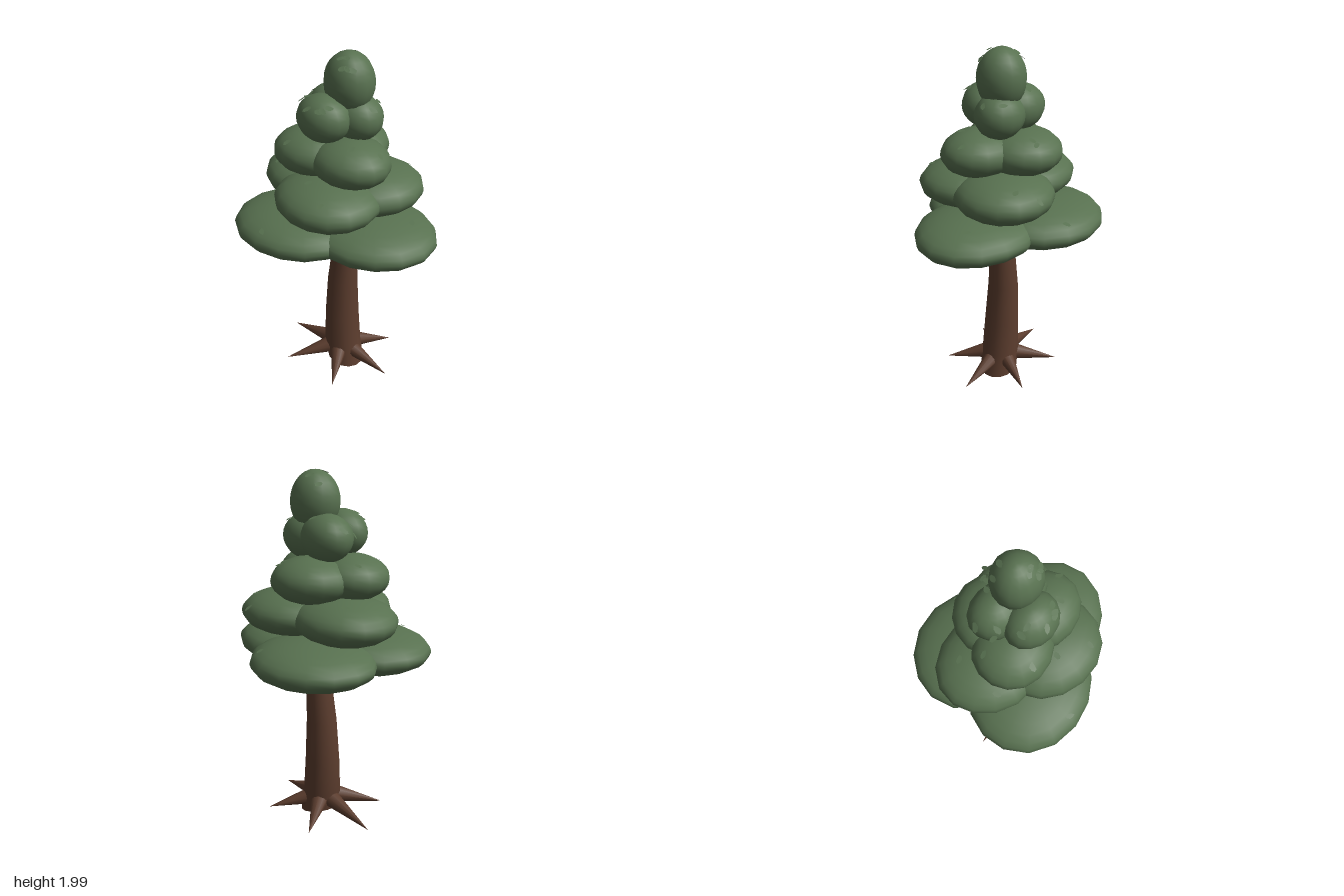
import * as THREE from 'three';
import { mergeVertices, toCreasedNormals } from 'three/addons/utils/BufferGeometryUtils.js';

const green = new THREE.MeshStandardMaterial({ color: 0x587150, side: THREE.DoubleSide });
green.name = 'leaf green';
const brown = new THREE.MeshStandardMaterial({ color: 0x5c3d2e });
brown.name = 'bark brown';

// Foliage clumps: centre x, y, z and radii x, y, z
const clumps = [
  // lowest tier
  [-0.185, 1.03, -0.2, 0.365, 0.12, 0.32],
  [-0.185, 1.03, 0.195, 0.365, 0.12, 0.32],
  [0.185, 1.03, -0.005, 0.365, 0.12, 0.325],
  // second tier
  [-0.24, 1.24, -0.03, 0.305, 0.125, 0.27],
  [0.09, 1.24, -0.12, 0.28, 0.125, 0.27],
  [0.01, 1.24, 0.16, 0.3, 0.125, 0.27],
  // third tier
  [-0.08, 1.44, -0.12, 0.225, 0.125, 0.215],
  [0.08, 1.445, 0.05, 0.22, 0.125, 0.2],
  [-0.17, 1.445, 0.07, 0.22, 0.125, 0.2],
  // fourth tier
  [-0.13, 1.66, -0.06, 0.155, 0.125, 0.13],
  [-0.065, 1.665, 0.1, 0.155, 0.125, 0.127],
  [0.03, 1.65, -0.05, 0.15, 0.125, 0.128],
  // crown
  [-0.005, 1.835, -0.035, 0.137, 0.162, 0.13],
];

// Ground positions (x, z) of the loose leaves; each rests on the highest clump there
const leafSpots = [
  [-0.04, -0.43], [0.14, -0.37], [0.21, -0.27], [0.385, -0.085], [0.01, -0.26], [0, -0.23],
  [-0.11, -0.13], [-0.1, -0.09], [-0.04, -0.1], [0.11, -0.12], [0.15, -0.03], [0.25, 0.03],
  [0.14, 0.12], [0.12, 0.34], [-0.19, 0.46], [-0.21, 0.22], [-0.04, 0.25], [-0.14, 0.13],
  [-0.18, 0.13], [-0.08, 0.2], [0, 0.18], [0.02, 0.15], [-0.01, 0.19], [-0.36, -0.13],
  [-0.38, 0.13], [-0.27, -0.07], [-0.31, 0], [-0.25, 0.02], [-0.22, 0.02], [0, 0.03],
  [0.02, 0.02], [0.05, 0.05], [0.07, 0.04], [0.03, 0.06],
];

// Trunk sections from the ground up: centre x, y, z, radius
const trunkSections = [
  [-0.015, 0.028, -0.012, 0.11],
  [-0.035, 0.15, -0.01, 0.108],
  [-0.043, 0.35, -0.014, 0.1],
  [-0.045, 0.6, -0.022, 0.087],
  [-0.022, 0.92, -0.03, 0.067],
  [-0.01, 1.25, -0.03, 0.05],
];

let seed = 7;
const random = () => (seed = (seed * 16807) % 2147483647) / 2147483647;

function add(parent, name, geometry, material) {
  const mesh = new THREE.Mesh(geometry, material);
  mesh.name = name;
  parent.add(mesh);
  return mesh;
}

// Drop seams so that normals run smoothly round the form
function weld(geometry) {
  geometry.deleteAttribute('uv');
  geometry.deleteAttribute('normal');
  return mergeVertices(geometry, 1e-4);
}

// Rounded clump with a slightly uneven outline
function clumpGeometry([x, y, z, rx, ry, rz], i) {
  let g = new THREE.SphereGeometry(1, 15, 14);
  g.rotateY(i * 0.7);
  g = weld(g);
  const p = g.attributes.position;
  for (let k = 0; k < p.count; k++) {
    const a = Math.atan2(p.getZ(k), p.getX(k));
    const w = 1 + 0.015 * Math.sin(3 * a + i);
    p.setXYZ(k, x + p.getX(k) * rx * w, y + p.getY(k) * ry, z + p.getZ(k) * rz * w);
  }
  g.computeVertexNormals();
  return g;
}

// Bent, tapering trunk with a slanting foot
function trunkGeometry() {
  const last = trunkSections.length - 1;
  const g = weld(new THREE.CylinderGeometry(1, 1, 1, 14, last));
  const p = g.attributes.position;
  for (let k = 0; k < p.count; k++) {
    const row = Math.round((p.getY(k) + 0.5) * last);
    const [x, y, z, r] = trunkSections[row];
    const slant = row === 0 ? -0.22 * p.getX(k) * r : 0;
    p.setXYZ(k, x + p.getX(k) * r, y + slant, z + p.getZ(k) * r);
  }
  return toCreasedNormals(g, 0.8);
}

// Cone from a base point to a tip
function spike(parent, name, from, to, radius) {
  const along = to.clone().sub(from);
  const g = new THREE.ConeGeometry(radius, along.length(), 10);
  const mesh = add(parent, name, g, brown);
  mesh.position.copy(from).addScaledVector(along, 0.5);
  mesh.quaternion.setFromUnitVectors(new THREE.Vector3(0, 1, 0), along.normalize());
}

// Small flat leaf laid near the surface
function addLeaf(parent, [x, z]) {
  let top = 0;
  const normal = new THREE.Vector3(0, 1, 0);
  for (const [cx, cy, cz, rx, ry, rz] of clumps) {
    const u = (x - cx) / rx, v = (z - cz) / rz, h = 1 - u * u - v * v;
    if (h <= 0) continue;
    const y = cy + ry * Math.sqrt(h);
    if (y > top) {
      top = y;
      normal.set(u / rx, Math.sqrt(h) / ry, v / rz).normalize();
    }
  }
  const outline = [];
  for (let k = 0; k < 7; k++) {
    const a = (k / 7) * Math.PI * 2, r = 0.8 + 0.4 * random();
    outline.push(new THREE.Vector2(Math.cos(a) * 0.024 * r, Math.sin(a) * 0.015 * r));
  }
  const g = new THREE.ShapeGeometry(new THREE.Shape(outline));
  g.rotateZ(random() * Math.PI * 2).rotateX(-Math.PI / 2);
  const leaf = add(parent, 'looseLeaf', g, green);
  leaf.position.set(x, top, z).addScaledVector(normal, 0.005);
  normal.lerp(new THREE.Vector3(0, 1, 0), 0.35).normalize();
  leaf.quaternion.setFromUnitVectors(new THREE.Vector3(0, 1, 0), normal);
}

export function createModel() {
  const tree = new THREE.Group();
  tree.name = 'tree';

  // Trunk, broken twig and ring of roots
  add(tree, 'trunk', trunkGeometry(), brown);
  spike(tree, 'twig', new THREE.Vector3(-0.05, 0.94, 0), new THREE.Vector3(-0.075, 0.87, 0.06), 0.025);
  const roots = new THREE.Group();
  roots.name = 'roots';
  tree.add(roots);
  for (let i = 0; i < 6; i++) {
    const a = (i / 6) * Math.PI * 2, c = Math.cos(a), s = Math.sin(a);
    spike(roots, 'root',
      new THREE.Vector3(-0.045 + c * 0.07, 0.112, -0.005 + s * 0.07),
      new THREE.Vector3(-0.06 + c * 0.37, 0.052, -0.003 + s * 0.32), 0.05);
  }

  // Foliage tiers
  const foliage = new THREE.Group();
  foliage.name = 'foliage';
  tree.add(foliage);
  clumps.forEach((c, i) => add(foliage, 'leafClump', clumpGeometry(c, i), green));

  // Loose leaves
  const leaves = new THREE.Group();
  leaves.name = 'looseLeaves';
  tree.add(leaves);
  leafSpots.forEach((spot) => addLeaf(leaves, spot));

  return tree;
}
